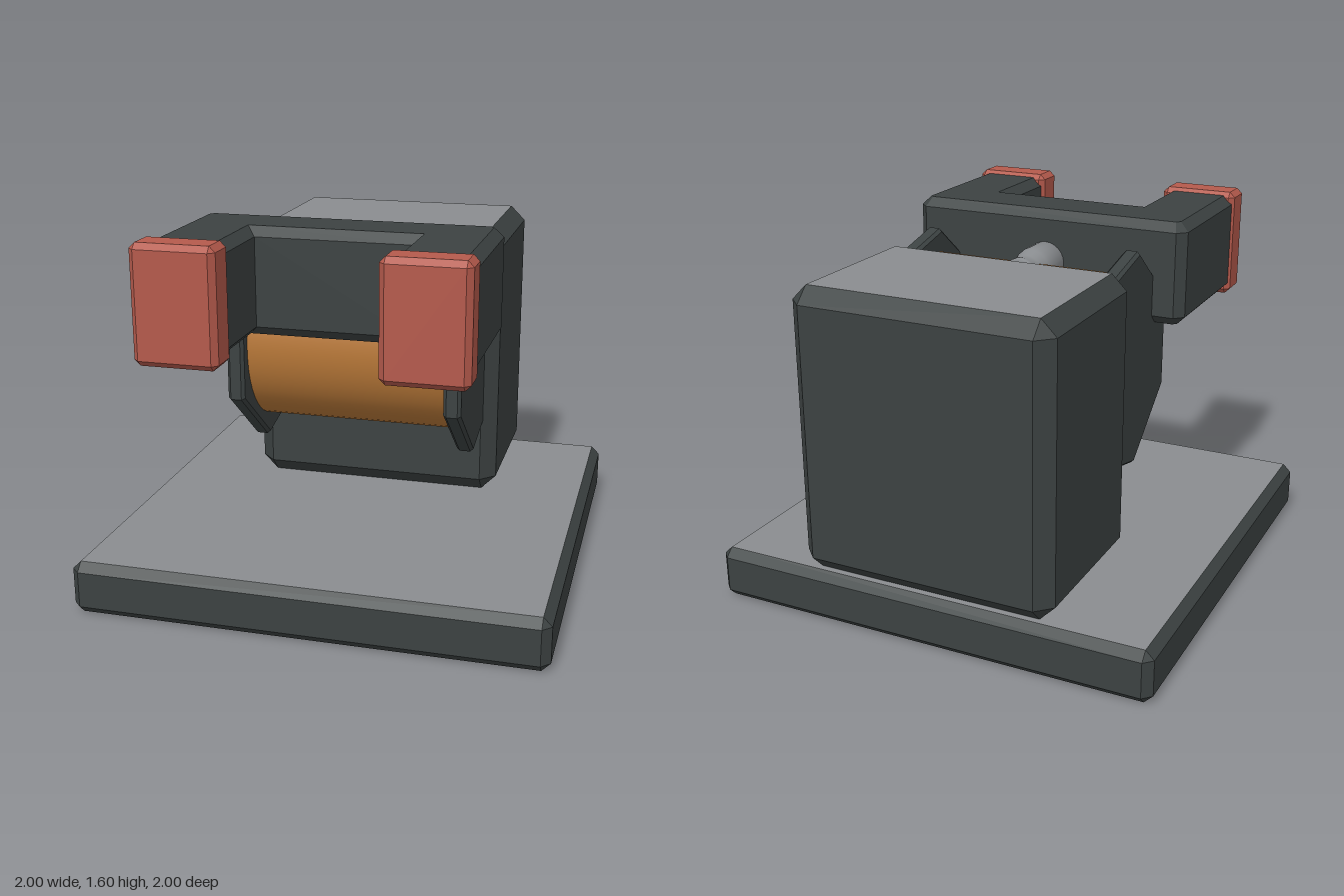
import * as THREE from 'three';
import { ConvexGeometry } from 'three/addons/geometries/ConvexGeometry.js';

export function createModel() {
  const paint = (name, color) => {
    const m = new THREE.MeshStandardMaterial({ color });
    m.name = name;
    return m;
  };
  const dark = paint('dark slate', 0x3c4242);
  const grey = paint('steel grey', 0x8a8d90);
  const red = paint('brick red', 0xb55a4c);
  const orange = paint('copper orange', 0xb87838);

  const root = new THREE.Group();
  root.name = 'winch';
  const add = (name, geometry, material) => {
    const mesh = new THREE.Mesh(geometry, material);
    mesh.name = name;
    root.add(mesh);
    return mesh;
  };

  // Box with every edge chamfered, given by its limits on each axis
  const chamferBox = ([x0, x1], [y0, y1], [z0, z1], c) => {
    const h = [(x1 - x0) / 2, (y1 - y0) / 2, (z1 - z0) / 2];
    const points = [];
    for (const sx of [-1, 1]) for (const sy of [-1, 1]) for (const sz of [-1, 1])
      for (let k = 0; k < 3; k++) {
        const inset = (i) => h[i] - (i === k ? 0 : c);
        points.push(new THREE.Vector3(sx * inset(0), sy * inset(1), sz * inset(2)));
      }
    return new ConvexGeometry(points).translate((x0 + x1) / 2, (y0 + y1) / 2, (z0 + z1) / 2);
  };

  // Horizontal faces get material 1, all others material 0
  const splitHorizontal = (geometry) => {
    const n = geometry.attributes.normal;
    for (let i = 0; i < n.count; i += 3)
      geometry.addGroup(i, 3, Math.abs(n.getY(i)) > 0.99 ? 1 : 0);
    return geometry;
  };

  // Base and motor housing
  add('base', splitHorizontal(chamferBox([-1, 1], [0, 0.23], [-1, 1], 0.037)), [dark, grey]);
  add('housing', splitHorizontal(chamferBox([-0.575, 0.575], [0.23, 1.465], [-1, -0.195], 0.067)), [dark, grey]);

  // Seven-sided cheek plates on both ends of the drum
  const axisY = 1.003, axisZ = -0.077;
  for (const side of [-1, 1]) {
    const points = [];
    for (const [x, r] of [[0.44, 0.482], [0.454, 0.496], [0.502, 0.496], [0.516, 0.482]])
      for (let i = 0; i < 7; i++) {
        const a = (2 * i + 1) * Math.PI / 7;
        points.push(new THREE.Vector3(side * x, axisY + r * Math.sin(a), axisZ + r * Math.cos(a)));
      }
    add(side > 0 ? 'leftCheekPlate' : 'rightCheekPlate', new ConvexGeometry(points), dark);
  }

  // Drum
  const drum = add('drum', new THREE.CylinderGeometry(0.393, 0.393, 0.89, 48), orange);
  drum.rotation.z = Math.PI / 2;
  drum.position.set(0, axisY, axisZ);

  // Turned peg running from the drum into the fork
  const profile = [[0, 0], [0.066, 0], [0.076, 0.01], [0.076, 0.03], [0.07, 0.06], [0.072, 0.085],
    [0.086, 0.13], [0.09, 0.16], [0.09, 0.34], [0, 0.34]].map(([r, y]) => new THREE.Vector2(r, y));
  const peg = add('peg', new THREE.LatheGeometry(profile, 24), grey);
  peg.rotation.x = Math.PI / 2;
  peg.position.set(0, 1.348, -0.083);

  // U-shaped fork, drawn in plan and extruded downwards
  const bevel = 0.04, e = 0.017;
  const half = [[0.37, 0.455], [0.37, 0.86], [0.615, 0.86], [0.615, 0.235 + e], [0.615 - e, 0.235]];
  const plan = [...half, ...half.map(([x, z]) => [-x, z]).reverse()].map(([x, z]) => new THREE.Vector2(x, z));
  const fork = new THREE.ExtrudeGeometry(new THREE.Shape(plan), {
    depth: 0.38, bevelEnabled: true, bevelSegments: 1, bevelSize: bevel, bevelThickness: bevel,
  });
  fork.rotateX(Math.PI / 2).translate(0, 1.54, 0);
  add('fork', fork, dark);

  // Pads on the fork tips
  for (const side of [-1, 1]) {
    const xs = side > 0 ? [0.315, 0.665] : [-0.665, -0.315];
    add(side > 0 ? 'leftPad' : 'rightPad', chamferBox(xs, [1.107, 1.595], [0.835, 0.995], 0.024), red);
  }

  return root;
}
